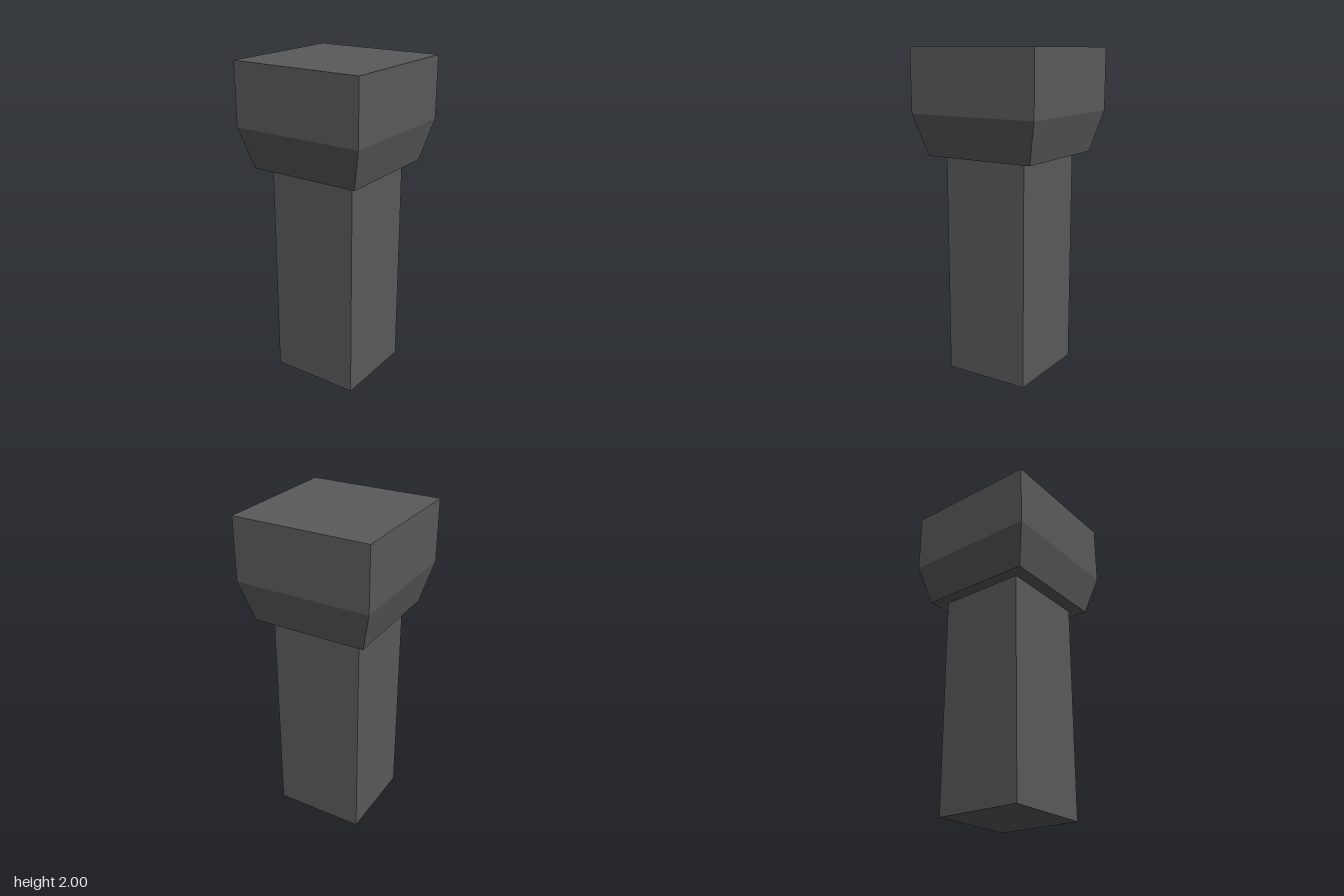
import * as THREE from 'three';

export function createModel() {
  const model = new THREE.Group();
  const darkGrey = new THREE.MeshStandardMaterial({ color: 0x5a5a5a });
  darkGrey.name = 'darkGrey';

  const addPart = (name, geometry) => {
    const mesh = new THREE.Mesh(geometry, darkGrey);
    mesh.name = name;
    model.add(mesh);
  };

  // Square shaft standing on the ground
  const neckY = 1.365;
  addPart('shaft', new THREE.BoxGeometry(0.568, neckY, 0.545).translate(0, neckY / 2, 0));

  // Head: a block whose lower band tapers inwards towards the shaft
  const heights = [neckY, 1.617, 2];
  const halfWidths = [0.354, 0.42, 0.42];
  const box = new THREE.BoxGeometry(2, 2, 2, 1, 2, 1);
  const pos = box.attributes.position;
  for (let i = 0; i < pos.count; i++) {
    const level = Math.round(pos.getY(i)) + 1;
    const w = halfWidths[level];
    pos.setXYZ(i, pos.getX(i) * w, heights[level], pos.getZ(i) * w);
  }
  const head = box.toNonIndexed();
  head.computeVertexNormals();
  addPart('head', head);

  return model;
}
